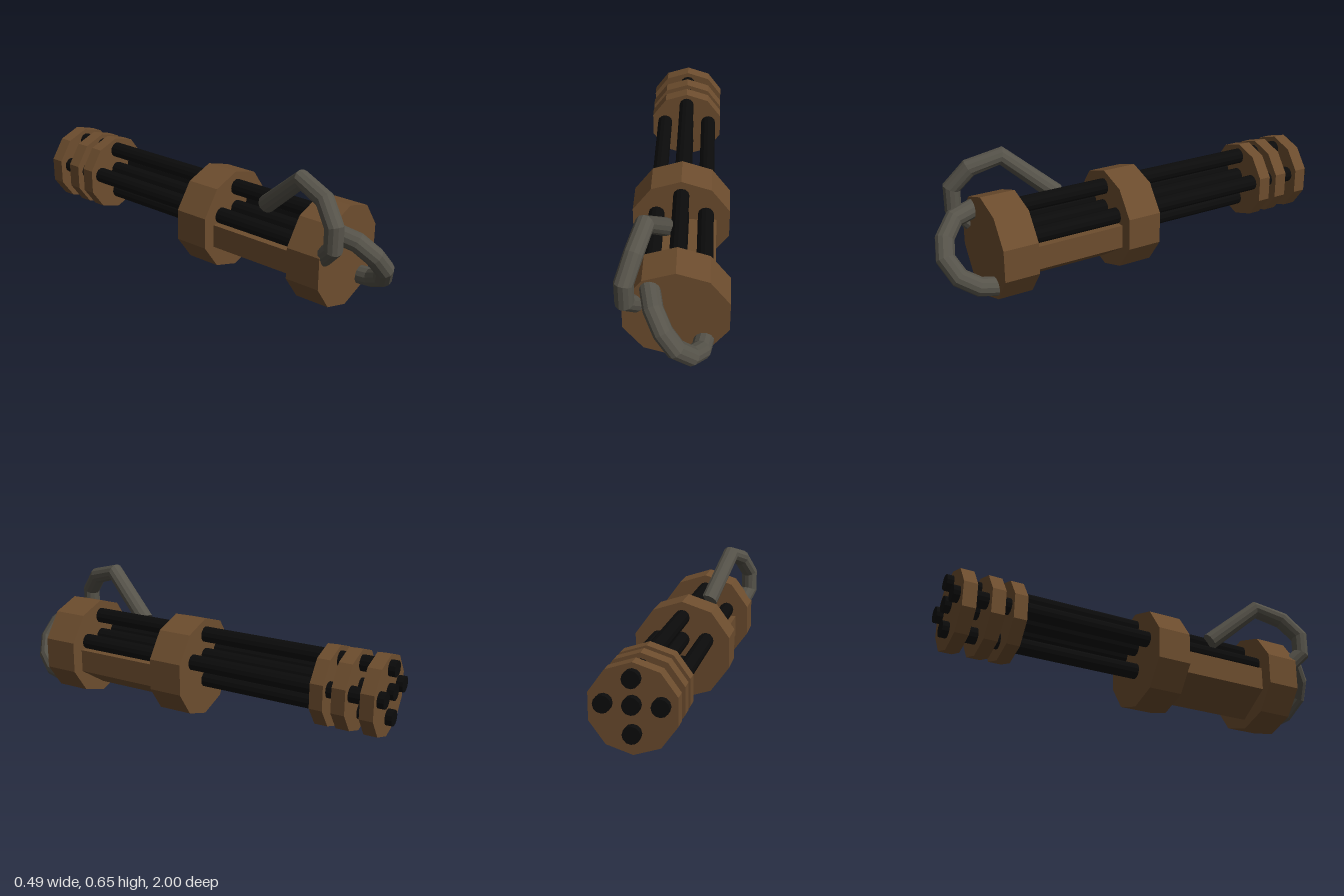
import * as THREE from 'three';

const flat = (name, color) => {
  const m = new THREE.MeshStandardMaterial({ color });
  m.name = name;
  m.flatShading = true;
  return m;
};

// Bent hose centreline: one curve step per listed point, with mitred corners
class BentLine extends THREE.Curve {
  constructor(points) {
    super();
    this.points = points;
  }
  getPoint(t, target = new THREE.Vector3()) {
    const n = this.points.length - 1;
    const i = Math.min(Math.floor(t * n + 1e-6), n - 1);
    return target.lerpVectors(this.points[i], this.points[i + 1], t * n - i);
  }
  getPointAt(t, target) {
    return this.getPoint(t, target);
  }
  getTangentAt(t, target = new THREE.Vector3()) {
    const p = this.points, n = p.length - 1, i = Math.round(t * n);
    target.set(0, 0, 0);
    if (i > 0) target.add(p[i].clone().sub(p[i - 1]).normalize());
    if (i < n) target.add(p[i + 1].clone().sub(p[i]).normalize());
    return target.normalize();
  }
}

export function createModel() {
  const group = new THREE.Group();
  group.name = 'rotaryGun';
  const brown = flat('brown', 0x6d4d2e);
  const black = flat('black', 0x0b0b0b);
  const grey = flat('hoseGrey', 0x56534a);
  const cx = 0.012;

  const add = (name, geometry, material) => {
    const mesh = new THREE.Mesh(geometry, material);
    mesh.name = name;
    group.add(mesh);
    return mesh;
  };

  // Cylinder lying along z, from z0 to z1
  const rod = (name, r, sides, x, y, z0, z1, material) => {
    const g = new THREE.CylinderGeometry(r, r, z1 - z0, sides);
    g.rotateX(Math.PI / 2);
    add(name, g, material).position.set(x, y, (z0 + z1) / 2);
  };

  // Large ten-sided housings
  rod('frontHousing', 0.245, 10, cx, 0.245, 0.602, 0.77, brown);
  rod('middleHousing', 0.245, 10, cx, 0.245, -0.03, 0.138, brown);

  // Barrel clamps near the muzzle
  [[-0.733, -0.67], [-0.837, -0.773], [-0.968, -0.904]].forEach(([a, b], i) =>
    rod('barrelClamp' + (i + 1), 0.193, 10, cx, 0.281, a, b, brown));

  // Five barrels in a cross
  [[0, 0.412], [-0.118, 0.303], [0, 0.303], [0.118, 0.303], [0, 0.182]].forEach(([x, y], i) =>
    rod('barrel' + (i + 1), 0.038, 12, cx + x, y, -1, 0.65, black));

  // Keel-shaped lower body between the housings
  const keel = new THREE.Shape([
    [-0.169, 0.268], [-0.169, 0.155], [0, 0.047], [0.169, 0.155], [0.169, 0.268],
  ].map(([x, y]) => new THREE.Vector2(cx + x, y)));
  const keelGeo = new THREE.ExtrudeGeometry(keel, { depth: 0.5, bevelEnabled: false });
  keelGeo.translate(0, 0, 0.12);
  add('lowerBody', keelGeo, brown);

  // Hoses, closed at both ends
  const hose = (name, r, coords) => {
    const pts = coords.map((c) => new THREE.Vector3(...c));
    const curve = new BentLine(pts);
    add(name, new THREE.TubeGeometry(curve, pts.length - 1, r, 12, false), grey);
    [0, 1].forEach((t) => {
      const out = curve.getTangentAt(t).multiplyScalar(t ? 1 : -1);
      const cap = add(name + 'End', new THREE.CircleGeometry(r, 12), grey);
      cap.position.copy(pts[t * (pts.length - 1)]);
      cap.quaternion.setFromUnitVectors(new THREE.Vector3(0, 0, 1), out);
    });
  };

  hose('frontHose', 0.045, [
    [-0.1, 0.4, 0.75], [-0.078, 0.375, 0.865], [-0.035, 0.31, 0.93], [0.018, 0.237, 0.952],
    [0.08, 0.16, 0.915], [0.122, 0.115, 0.84], [0.137, 0.1, 0.75],
  ]);
  hose('upperHose', 0.043, [
    [-0.05, 0.405, 0.365], [-0.125, 0.612, 0.602], [-0.163, 0.568, 0.745],
    [-0.2, 0.475, 0.822], [-0.2, 0.375, 0.822], [-0.163, 0.3, 0.75],
  ]);

  return group;
}
